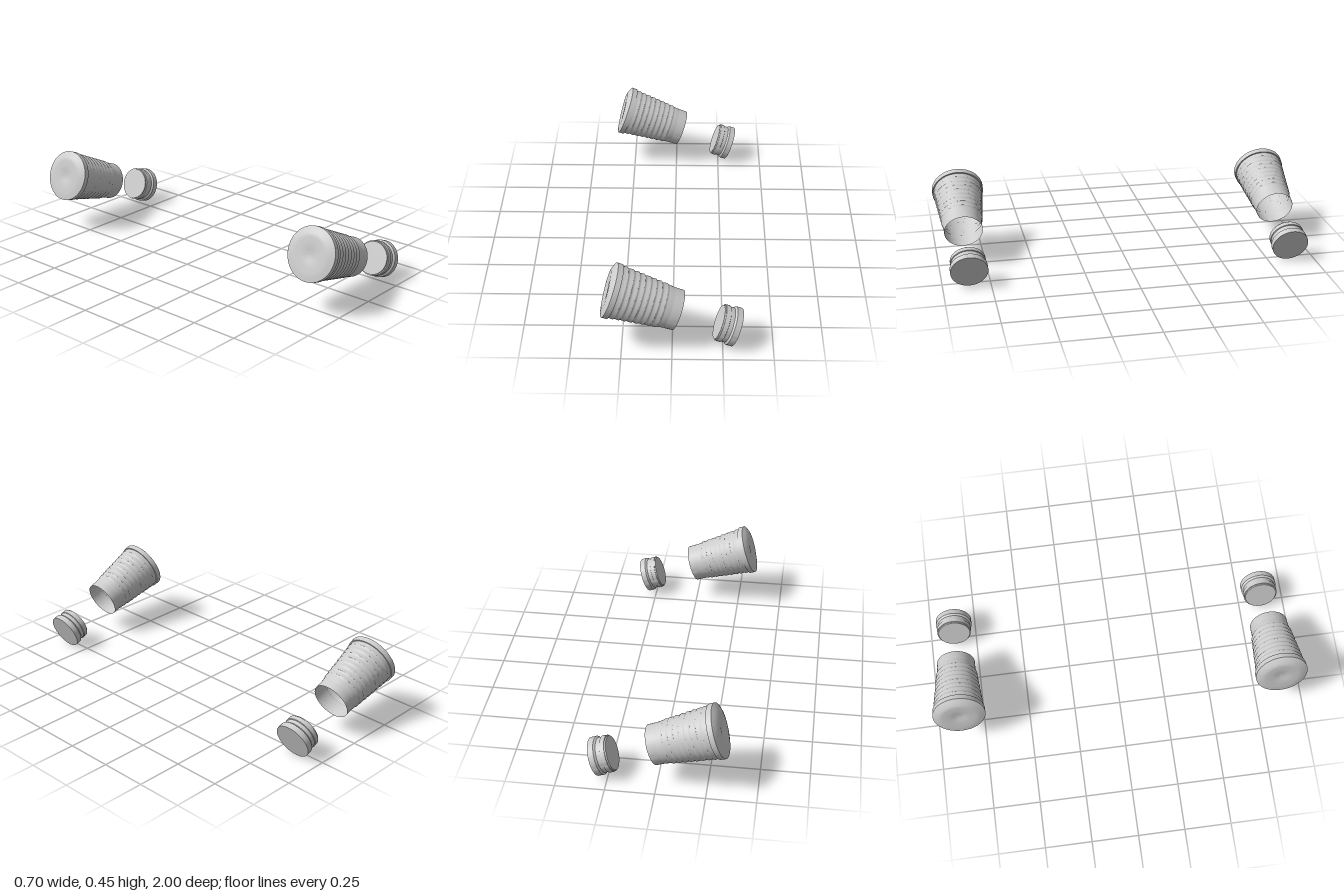
import * as THREE from 'three';
import { toCreasedNormals } from 'three/addons/utils/BufferGeometryUtils.js';

const SIDES = 64;
const TILT = THREE.MathUtils.degToRad(70); // local y runs towards the capped end

export function createModel() {
  const model = new THREE.Group();
  const grey = new THREE.MeshStandardMaterial({ color: 0xcccccc, side: THREE.DoubleSide });
  grey.name = 'lightGrey';

  const lathe = (profile) =>
    new THREE.LatheGeometry(profile.map(([r, y]) => new THREE.Vector2(r, y)), SIDES);

  const add = (parent, name, geometry, crease = 0.6) => {
    const mesh = new THREE.Mesh(toCreasedNormals(geometry, crease), grey);
    mesh.name = name;
    parent.add(mesh);
  };

  // Open collar at the narrow end
  const collar = lathe([[0.102, 0], [0.103, 0.05]]);

  // Tapered sleeve with shallow ribs, open inside
  const sleeveProfile = [[0.103, 0.05], [0.1065, 0.078]];
  const ribs = 8, start = 0.082, pitch = 0.03;
  for (let i = 0; i < ribs; i++) {
    const s = start + i * pitch;
    const r = 0.1065 + (s - start) * 0.1;
    sleeveProfile.push([r, s], [r + 0.0045, s + 0.007], [r + 0.004, s + 0.016], [r + 0.0025, s + 0.026]);
  }
  sleeveProfile.push([0.1315, 0.3255]);
  const sleeve = lathe(sleeveProfile);

  // Rim band around the wide end
  const rim = lathe([[0.1315, 0.3255], [0.138, 0.3255], [0.139, 0.354]]);

  // Soft cap, slightly lopsided with a shallow thumb dent
  const capProfile = [[0.139, 0.354], [0.134, 0.356], [0.125, 0.3595], [0.114, 0.3635], [0.103, 0.3665], [0.093, 0.368]];
  for (let i = 1; i <= 10; i++) capProfile.push([0.093 * (1 - i / 10), 0.368 + 0.001 * i / 10]);
  const cap = lathe(capProfile);
  const p = cap.attributes.position;
  for (let i = 0; i < p.count; i++) {
    const x = p.getX(i), z = p.getZ(i);
    const inner = 1 - Math.min(1, Math.hypot(x, z) / 0.139);
    const dent = Math.exp(-((x + 0.005) ** 2 + z ** 2) / 0.0016);
    p.setY(i, p.getY(i) + 0.08 * x * Math.min(1, inner * 3) - 0.009 * dent);
  }
  cap.computeVertexNormals();

  // Solid grooved plug
  const plug = lathe([
    [0, 0], [0.098, 0], [0.098, 0.031], [0.089, 0.04], [0.089, 0.061],
    [0.0935, 0.063], [0.0925, 0.0865], [0.0875, 0.0865], [0.0865, 0.0935], [0, 0.0935],
  ]);

  // One sleeve and plug on each side
  for (const [side, z] of [['front', 0.861], ['back', -0.861]]) {
    const cup = new THREE.Group();
    cup.name = side + 'Sleeve';
    cup.position.set(0.0275, 0.198, z);
    cup.rotation.z = TILT;
    add(cup, 'collar', collar);
    add(cup, 'ribbedSleeve', sleeve);
    add(cup, 'rim', rim);
    add(cup, 'cap', cap, 1.2);

    const stopper = new THREE.Group();
    stopper.name = side + 'Plug';
    stopper.position.set(0.3175, 0.0925, z);
    stopper.rotation.z = TILT;
    add(stopper, 'groovedPlug', plug);
    model.add(cup, stopper);
  }
  return model;
}
